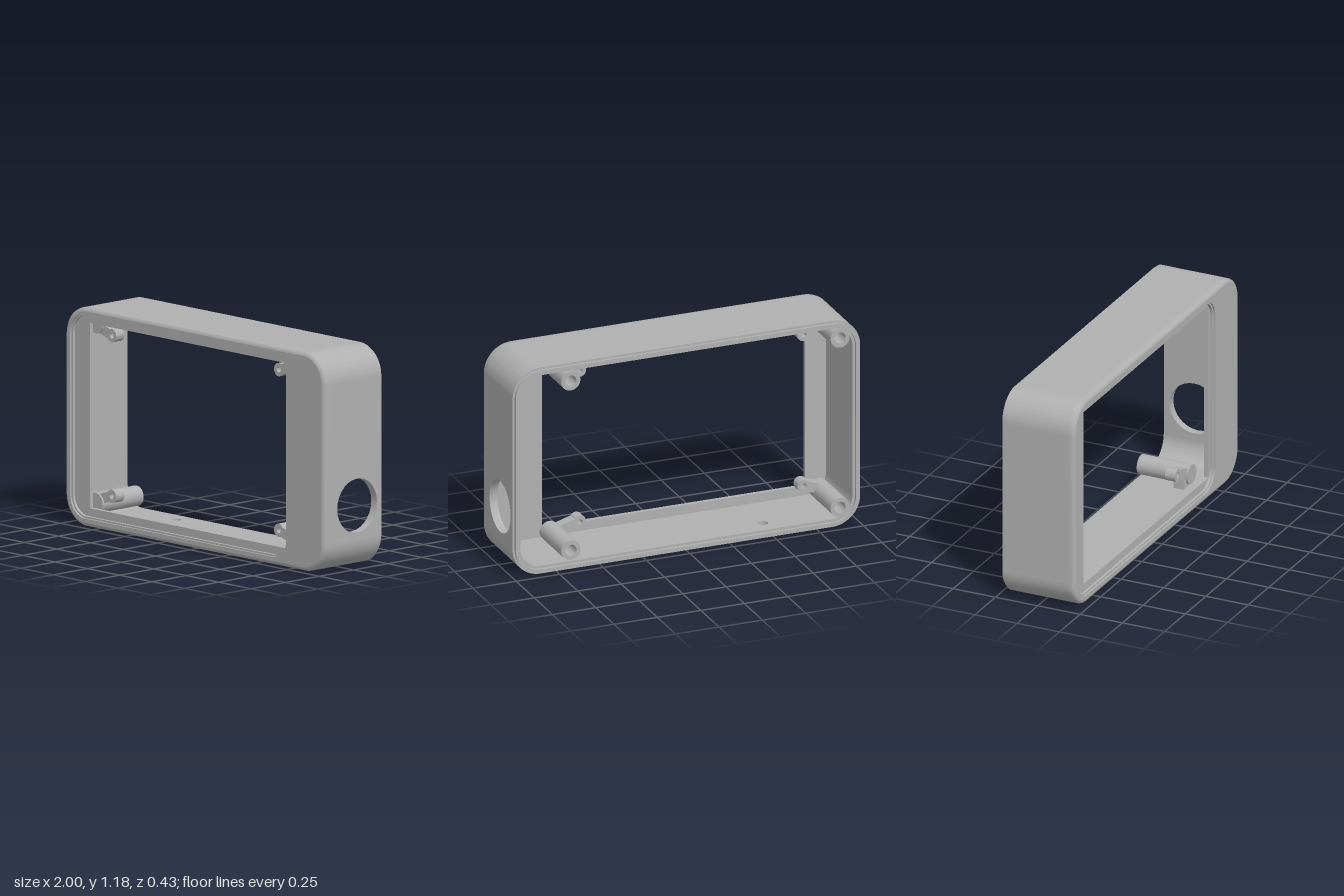
import * as THREE from 'three';
import { toCreasedNormals } from 'three/addons/utils/BufferGeometryUtils.js';

const H = 1.185;      // overall height
const R = 0.16;       // outer corner radius
const T = 0.045;      // wall thickness
const ZB = -0.2;      // back of the walls
const ZF = 0.165;     // back of the front plate
const SEG = 14;

export function createModel() {
  const group = new THREE.Group();
  const grey = new THREE.MeshStandardMaterial({ color: 0xb0b0b0 });
  grey.name = 'casing grey';

  const add = (name, geometry) => {
    const mesh = new THREE.Mesh(geometry, grey);
    mesh.name = name;
    group.add(mesh);
    return mesh;
  };

  const rounded = (x0, y0, x1, y1, r, Type = THREE.Shape) => {
    const s = new Type();
    s.moveTo(x1, y0 + r);
    s.absarc(x1 - r, y1 - r, r, 0, Math.PI / 2);
    s.absarc(x0 + r, y1 - r, r, Math.PI / 2, Math.PI);
    s.absarc(x0 + r, y0 + r, r, Math.PI, Math.PI * 1.5);
    s.absarc(x1 - r, y0 + r, r, Math.PI * 1.5, Math.PI * 2);
    s.closePath();
    return s;
  };
  const outline = (d, Type) => rounded(-1 + d, d, 1 - d, H - d, R - d, Type);
  const recess = (d) => rounded(-0.96 + d, 0.043 + d, 0.712 - d, 1.15 - d, 0.115 - d, THREE.Path);
  const rect = (x0, y0, x1, y1, Type = THREE.Shape) =>
    new Type([[x0, y0], [x1, y0], [x1, y1], [x0, y1]].map(p => new THREE.Vector2(...p)));
  const circle = (x, y, r) => new THREE.Path().absarc(x, y, r, 0, Math.PI * 2);

  const slab = (shape, holes, z0, z1) => {
    shape.holes.push(...holes);
    const g = new THREE.ExtrudeGeometry(shape, { depth: z1 - z0, bevelEnabled: false, curveSegments: SEG });
    g.translate(0, 0, z0);
    return toCreasedNormals(g, 0.5);
  };

  // Surface through inset copies of the outline; each profile entry is [inset, z]
  const loft = (profile) => {
    const pos = [], idx = [];
    let n = 0;
    profile.forEach(([d, z]) => {
      const pts = outline(d).getPoints(SEG);
      n = pts.length;
      pts.forEach(p => pos.push(p.x, p.y, z));
    });
    for (let i = 0; i < profile.length - 1; i++) {
      for (let j = 0; j < n; j++) {
        const k = (j + 1) % n, a = i * n, b = a + n;
        idx.push(a + j, a + k, b + k, a + j, b + k, b + j);
      }
    }
    const g = new THREE.BufferGeometry();
    g.setAttribute('position', new THREE.Float32BufferAttribute(pos, 3));
    g.setIndex(idx);
    return toCreasedNormals(g, 0.6);
  };

  // Front: rounded edge, face with stepped recess, and floor with window opening
  add('frontEdge', loft([[0, ZF], [0, 0.195], [0.003, 0.205], [0.01, 0.212], [0.02, 0.215]]));
  add('frontFace', slab(outline(0.02), [recess(0)], 0.205, 0.215));
  add('recessStep', slab(outline(0.02), [recess(0.01)], 0.19, 0.205));
  add('recessFloor', slab(outline(0.001), [rect(-0.835, 0.097, 0.68, 1.1, THREE.Path)], ZF, 0.19));

  // Corners of the wall
  [[1, 1, 0], [-1, 1, 1], [-1, -1, 2], [1, -1, 3]].forEach(([sx, sy, q]) => {
    const s = new THREE.Shape();
    const a = q * Math.PI / 2, b = a + Math.PI / 2;
    const cx = sx * (1 - R), cy = H / 2 + sy * (H / 2 - R);
    s.absarc(cx, cy, R, a, b, false);
    s.absarc(cx, cy, R - T, b, a, true);
    s.closePath();
    add('wallCorner', slab(s, [], ZB, ZF));
  });

  // Straight walls: right-hand one with a round port, bottom one with a small drain hole
  const port = add('portWall', slab(rect(-ZF, R, -ZB, H - R), [circle(0.027, 0.345, 0.146)], 0, T));
  port.rotation.y = Math.PI / 2;
  port.position.x = 1 - T;
  const bottom = add('bottomWall', slab(rect(-1 + R, ZB, 1 - R, ZF), [circle(-0.48, -0.108, 0.026)], 0, T));
  bottom.rotation.x = Math.PI / 2;
  bottom.position.y = T;
  add('topWall', slab(rect(-1 + R, H - T, 1 - R, H), [], ZB, ZF));
  add('plainSideWall', slab(rect(-1, R, -1 + T, H - R), [], ZB, ZF));

  // Raised lip around the open back
  add('backLip', slab(outline(0.012), [outline(0.03, THREE.Path)], -0.215, ZB));

  // Screw posts with blind holes, and the arms holding the display
  const postGeometry = toCreasedNormals(new THREE.LatheGeometry(
    [[0, 0], [0.055, 0], [0.055, 0.3], [0.032, 0.3], [0.032, 0.1], [0, 0.1]].map(p => new THREE.Vector2(...p)), 32), 0.5);

  const arm = (tx, ty, px, py) => {
    const len = Math.hypot(px - tx, py - ty), r = 0.036, w = 0.027;
    const a = Math.asin(w / r);
    const s = new THREE.Shape();
    s.absarc(0, 0, r, a, Math.PI * 2 - a);
    s.lineTo(len, -w);
    s.lineTo(len, w);
    s.closePath();
    const m = add('displayArm', slab(s, [circle(0, 0, 0.015)], 0.03, 0.09));
    m.rotation.z = Math.atan2(py - ty, px - tx);
    m.position.set(tx, ty, 0);
  };

  [1, -1].forEach(sy => {
    const y = d => H / 2 + sy * d;
    [0.665, -0.885].forEach(x => {
      const post = add('screwPost', postGeometry);
      post.rotation.x = -Math.PI / 2;
      post.position.set(x, y(0.487), 0.1);
    });
    arm(0.517, y(0.435), 0.65, y(0.475));
    arm(-0.772, y(0.435), -0.88, y(0.467));
    // Gusset joining post to wall
    const gusset = add('postGusset', new THREE.BoxGeometry(0.1, 0.08, 0.06));
    gusset.position.set(0.635, y(0.508), 0.06);
  });

  return group;
}
